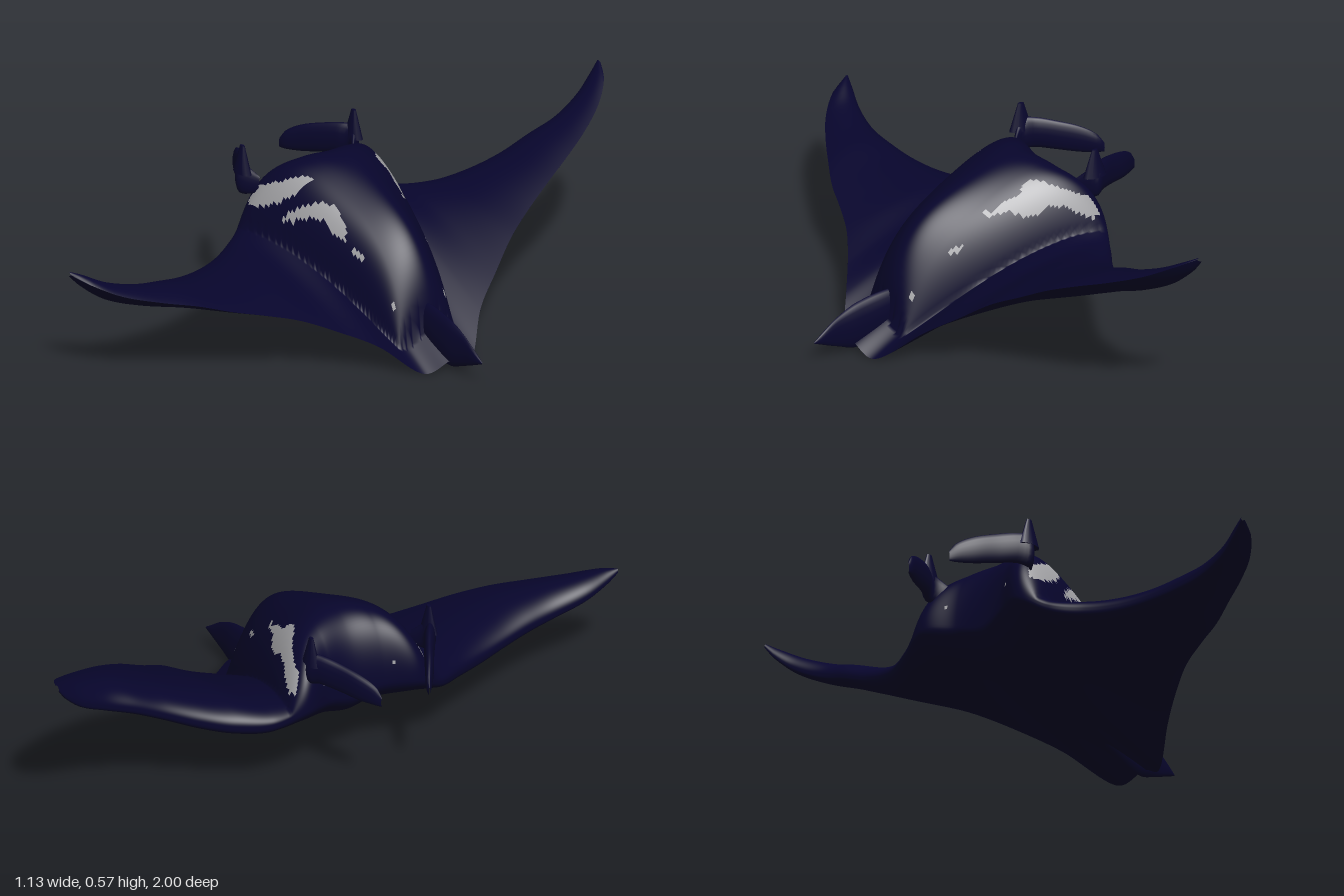
import * as THREE from 'three';

const navy = new THREE.MeshStandardMaterial({ color: 0x07052c });
navy.name = 'navy skin';
const grey = new THREE.MeshStandardMaterial({ color: 0xa3a3a6 });
grey.name = 'pale grey marking';

// Smooth interpolation of rows whose first column ascends
function sample(keys, t) {
  let i = 0;
  while (i < keys.length - 2 && t > keys[i + 1][0]) i++;
  const a = keys[i], b = keys[i + 1], p = keys[i - 1] || a, n = keys[i + 2] || b;
  const d = b[0] - a[0], u = (t - a[0]) / d;
  const u2 = u * u, u3 = u2 * u;
  return a.map((v, k) => {
    if (k === 0) return t;
    const m0 = (b[k] - p[k]) / (b[0] - p[0]) * d;
    const m1 = (n[k] - v) / (n[0] - a[0]) * d;
    return (2 * u3 - 3 * u2 + 1) * v + (u3 - 2 * u2 + u) * m0 + (3 * u2 - 2 * u3) * b[k] + (u3 - u2) * m1;
  });
}

// Skin over closed rings; marked(centre) picks the second material
function skin(name, rings, marked) {
  const n = rings[0].length, plain = [], painted = [];
  for (let i = 0; i < rings.length - 1; i++) {
    for (let j = 0; j < n; j++) {
      const k = (j + 1) % n;
      const a = i * n + j, b = i * n + k, c = a + n, d = b + n;
      const p = rings[i][j], q = rings[i + 1][k];
      const centre = p.map((v, m) => (v + q[m]) / 2);
      (marked && marked(centre, j) ? painted : plain).push(a, b, c, b, d, c);
    }
  }
  const g = new THREE.BufferGeometry();
  g.setAttribute('position', new THREE.Float32BufferAttribute(rings.flat(2), 3));
  g.setIndex(plain.concat(painted));
  g.addGroup(0, plain.length, 0);
  g.addGroup(plain.length, painted.length, 1);
  g.computeVertexNormals();
  const mesh = new THREE.Mesh(g, [navy, grey]);
  mesh.name = name;
  return mesh;
}

// Blade along x from keys: x, top, bottom, z, half width
function blade(name, keys, steps = 30) {
  const x0 = keys[0][0], x1 = keys[keys.length - 1][0], rings = [];
  for (let i = 0; i <= steps; i++) {
    const [x, top, bot, z, w] = sample(keys, x0 + (x1 - x0) * i / steps);
    const ring = [];
    for (let j = 0; j < 16; j++) {
      const a = j / 16 * Math.PI * 2;
      ring.push([x, (top + bot) / 2 + (top - bot) / 2 * Math.cos(a), z + w * Math.sin(a)]);
    }
    rings.push(ring);
  }
  return skin(name, rings);
}

// z, leading x, trailing x, leading y, trailing y, half thickness
const span = [
  [-1, -0.21, -0.19, 0.56, 0.565, 0.006], [-0.97, -0.205, -0.13, 0.525, 0.543, 0.015],
  [-0.9, -0.185, -0.06, 0.468, 0.5, 0.025], [-0.8, -0.167, 0.005, 0.418, 0.455, 0.031],
  [-0.7, -0.175, 0.055, 0.38, 0.415, 0.035], [-0.6, -0.19, 0.095, 0.335, 0.37, 0.038],
  [-0.5, -0.225, 0.13, 0.295, 0.315, 0.042], [-0.4, -0.27, 0.175, 0.27, 0.26, 0.045],
  [-0.3, -0.325, 0.23, 0.275, 0.185, 0.047], [-0.2, -0.36, 0.29, 0.32, 0.11, 0.048],
  [-0.09, -0.32, 0.395, 0.305, 0.005, 0.047], [0, -0.31, 0.42, 0.285, 0.035, 0.052],
  [0.09, -0.32, 0.395, 0.305, 0.002, 0.047], [0.2, -0.36, 0.315, 0.305, 0.09, 0.048],
  [0.3, -0.325, 0.245, 0.245, 0.14, 0.043], [0.4, -0.27, 0.185, 0.222, 0.182, 0.042],
  [0.5, -0.23, 0.145, 0.215, 0.21, 0.04], [0.6, -0.2, 0.11, 0.222, 0.235, 0.036],
  [0.7, -0.18, 0.06, 0.236, 0.262, 0.034], [0.8, -0.173, 0.005, 0.252, 0.28, 0.03],
  [0.9, -0.185, -0.06, 0.283, 0.303, 0.025], [0.97, -0.2, -0.13, 0.33, 0.335, 0.017],
  [1, -0.205, -0.19, 0.355, 0.355, 0.006],
];

// Flank markings as outlines in x and y
const spots = [
  [[0.1, 0.305], [0.135, 0.3], [0.135, 0.32], [0.1, 0.325]],
  [[0.255, 0.172], [0.272, 0.17], [0.272, 0.185], [0.258, 0.188]],
];
const nearMarks = [
  [[-0.335, 0.36], [-0.28, 0.36], [-0.2, 0.395], [-0.14, 0.44], [-0.125, 0.485], [-0.16, 0.485], [-0.21, 0.46], [-0.31, 0.415]],
  [[-0.17, 0.355], [-0.13, 0.355], [-0.08, 0.38], [-0.02, 0.385], [0.01, 0.36], [0.065, 0.345], [0.05, 0.385], [-0.01, 0.43], [-0.06, 0.432], [-0.14, 0.39]],
  ...spots,
];
const farMarks = [
  [[-0.335, 0.36], [-0.29, 0.36], [-0.23, 0.405], [-0.17, 0.42], [-0.13, 0.39], [-0.09, 0.39], [-0.06, 0.415], [0.01, 0.395],
    [0.02, 0.41], [-0.05, 0.435], [-0.1, 0.45], [-0.125, 0.485], [-0.17, 0.485], [-0.22, 0.46], [-0.31, 0.42]],
  ...spots,
];
function inside(poly, x, y) {
  let hit = false;
  for (let i = 0, j = poly.length - 1; i < poly.length; j = i++) {
    const [ax, ay] = poly[i], [bx, by] = poly[j];
    if ((ay > y) !== (by > y) && x < (bx - ax) * (y - ay) / (by - ay) + ax) hit = !hit;
  }
  return hit;
}

// Raised back above the wing plane, narrowing towards the tail, steeper on the near flank
function dome(x, z, xl) {
  const u = (x - xl) / (0.3 - xl);
  if (u <= 0 || u >= 1) return 0;
  const near = z > 0;
  const w = (near ? 0.265 : 0.25) - 0.15 * Math.pow(u, 1.3);
  const across = 1 - Math.pow(Math.abs(z) / w, near ? 2.5 + 1.5 * u : 2.5);
  if (across <= 0) return 0;
  return 0.25 * Math.pow(across, 0.75) * Math.sqrt(1 - Math.pow(2 * u - 1, 4));
}

// Full lower jaw under the head
function chin(s, z) {
  return 1 + 0.5 * Math.max(0, 1 - Math.pow(z / 0.28, 4)) * Math.exp(-Math.pow((s - 0.08) / 0.09, 2));
}

function bodyAndWings() {
  const rows = 280, half = 88, rings = [];
  for (let i = 0; i <= rows; i++) {
    const t = -1 + 2 * i / rows;                          // rows gather at the body
    const [z, xl, xt, yl, yt, h] = sample(span, t * (0.45 + 0.55 * t * t));
    const crest = 2.6 + 0.8 * THREE.MathUtils.smoothstep(Math.abs(z), 0.2, 0.4);
    const ring = [];
    for (let j = 0; j < half * 2; j++) {
      const s = (1 + Math.cos(Math.PI * j / half)) / 2;   // trailing, leading, trailing
      const x = xl + (xt - xl) * s, mid = yl + (yt - yl) * s;
      const over = h * crest * Math.sqrt(s) * (1 - s);
      const under = h * 2 * Math.pow(s, 0.32) * Math.pow(1 - s, 0.9) * chin(s, z);
      ring.push([x, j <= half ? mid + over + dome(x, z, xl) : mid - under, z]);
    }
    rings.push(ring);
  }
  return skin('bodyAndWings', rings, ([x, y, z], j) =>
    j < half && Math.abs(z) < 0.29 && (x > 0 || Math.abs(z) > 0.12) &&
    (z > 0 ? nearMarks : farMarks).some(m => inside(m, x, y)));
}

// Head fin curling forward, with a small blunt lobe on top
function headFin(name, tipZ, rootZ, lift) {
  const g = new THREE.Group();
  g.name = name;
  const d = rootZ - tipZ;
  g.add(blade('finBlade', [
    [-0.565, 0.42, 0.39, tipZ, 0.003],
    [-0.545, 0.45, 0.388, tipZ + d * 0.08, 0.011],
    [-0.5, 0.478, 0.39, tipZ + d * 0.3, 0.016],
    [-0.44, 0.497, 0.4, tipZ + d * 0.57, 0.018],
    [-0.38, 0.51, 0.408, tipZ + d * 0.86, 0.021],
    [-0.345, 0.505, 0.4, rootZ, 0.02],
    [-0.3, 0.46, 0.41, rootZ - Math.sign(rootZ) * 0.035, 0.006],
  ]));
  const lobe = new THREE.Mesh(new THREE.CylinderGeometry(0.01, 0.04, 0.09, 12), navy);
  lobe.name = 'finLobe';
  lobe.scale.z = 0.5;
  lobe.position.set(-0.345, 0.515, rootZ);
  g.add(lobe);
  g.position.y = lift;
  return g;
}

export function createModel() {
  const model = new THREE.Group();
  model.name = 'mantaRay';
  model.add(bodyAndWings());
  model.add(headFin('farHeadFin', -0.06, -0.18, 0));
  model.add(headFin('nearHeadFin', 0.11, 0.24, -0.015));
  model.add(blade('tail', [
    [0.2, 0.16, 0.1, 0, 0.01], [0.28, 0.18, 0.05, 0, 0.022], [0.4, 0.165, 0.012, 0, 0.02],
    [0.48, 0.132, 0.035, -0.003, 0.01], [0.54, 0.09, 0.058, -0.006, 0.006], [0.565, 0.072, 0.068, -0.008, 0.002],
  ]));
  return model;
}
